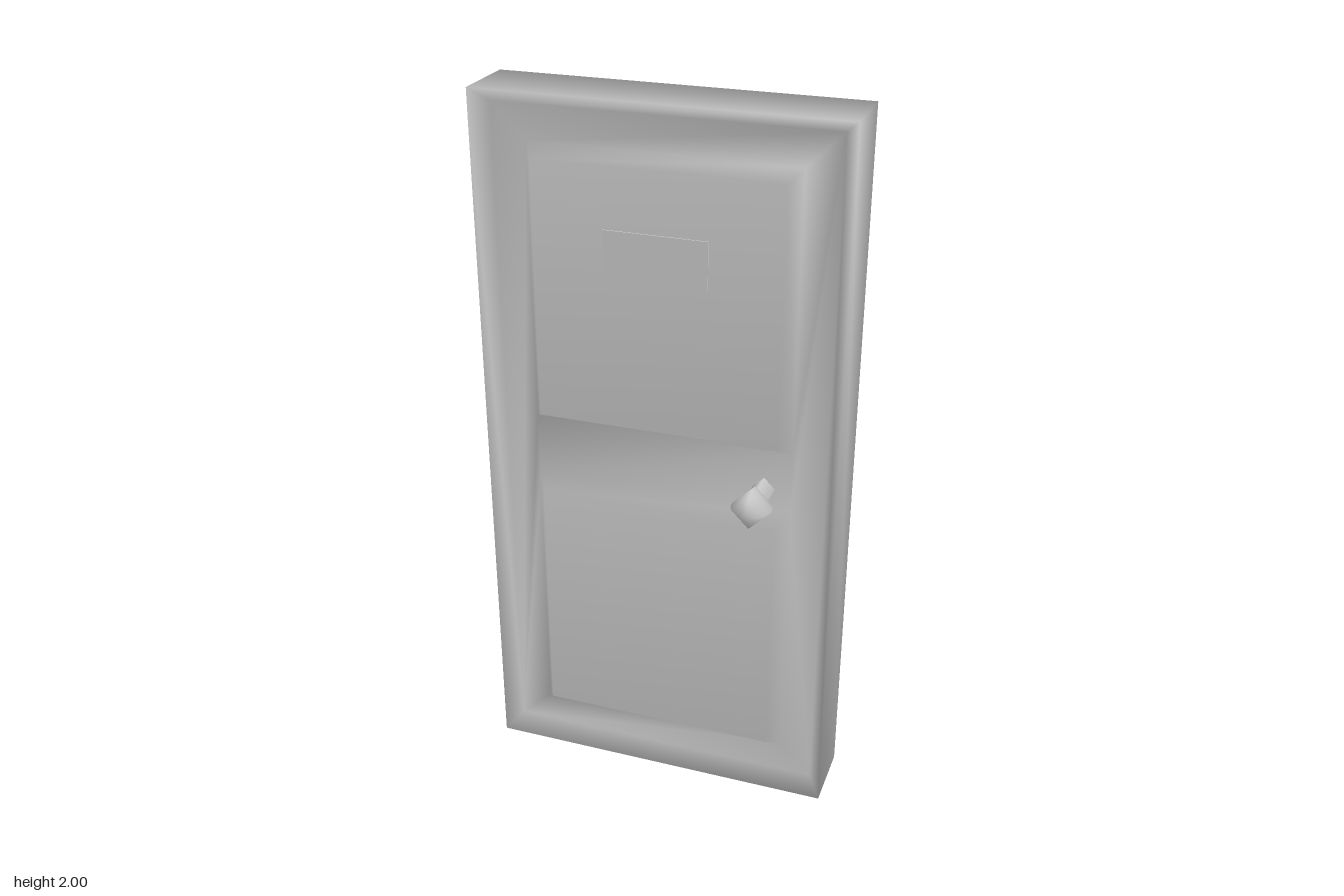
import * as THREE from 'three';

const FRONT = 0.093, BACK = -0.107, RECESS = 0.045;

// Door slab: one shared-vertex surface made of rectangular loops joined by bands
function doorGeometry() {
  const pos = [], index = [];
  const loop = (hw, y0, y1, z) => {
    const start = pos.length / 3;
    pos.push(-hw, y0, z, hw, y0, z, hw, y1, z, -hw, y1, z);
    return [0, 1, 2, 3].map((i) => start + i);
  };
  const quad = (a, b, c, d) => index.push(a, b, c, a, c, d);
  const band = (outer, inner) => {
    for (let i = 0; i < 4; i++) {
      const j = (i + 1) % 4;
      quad(outer[i], outer[j], inner[j], inner[i]);
    }
  };

  // back, sides and sloping rim
  const back = loop(0.5, 0, 2, BACK);
  const edge = loop(0.5, 0, 2, FRONT);
  const rim = loop(0.46, 0.04, 1.96, RECESS);
  quad(back[0], back[3], back[2], back[1]);
  band(back, edge);
  band(edge, rim);

  // two raised panels with bevelled sides
  const feet = [[0.135, 0.91], [1.09, 1.865]].map(([y0, y1]) => {
    const foot = loop(0.365, y0, y1, RECESS);
    const top = loop(0.335, y0 + 0.03, y1 - 0.03, FRONT);
    band(foot, top);
    quad(...top);
    return foot;
  });

  // sunken frame around the panels
  const flat = (ids) => ids.map((i) => new THREE.Vector2(pos[i * 3], pos[i * 3 + 1]));
  const holes = feet.map((f) => [...f].reverse());
  const ids = [rim, ...holes].flat();
  for (const [a, b, c] of THREE.ShapeUtils.triangulateShape(flat(rim), holes.map(flat))) {
    index.push(ids[a], ids[b], ids[c]);
  }

  const geometry = new THREE.BufferGeometry();
  geometry.setAttribute('position', new THREE.Float32BufferAttribute(pos, 3));
  geometry.setIndex(index);
  geometry.computeVertexNormals();
  return geometry;
}

export function createModel() {
  const model = new THREE.Group();
  model.name = 'door';
  const grey = new THREE.MeshStandardMaterial({ color: 0xcccccc });
  grey.name = 'light grey';

  const add = (name, geometry, parent = model) => {
    const mesh = new THREE.Mesh(geometry, grey);
    mesh.name = name;
    parent.add(mesh);
    return mesh;
  };

  add('doorSlab', doorGeometry());

  // thin plate on the upper panel
  add('namePlate', new THREE.BoxGeometry(0.28, 0.13, 0.006)).position.set(0, 1.605, FRONT);

  // four-sided knobs on stems, front and back
  for (const [name, side, face] of [['frontHandle', 1, FRONT], ['backHandle', -1, -BACK]]) {
    const handle = new THREE.Group();
    handle.name = name;
    handle.position.set(0.3, 1, 0);
    model.add(handle);
    const start = face - 0.01, end = 0.17;
    const stem = new THREE.CylinderGeometry(0.03, 0.03, end - start, 4).rotateX(Math.PI / 2);
    add('stem', stem, handle).position.z = side * (start + end) / 2;
    const knob = new THREE.SphereGeometry(0.055, 4, 24).rotateX(Math.PI / 2);
    add('knob', knob, handle).position.z = side * 0.196;
  }
  return model;
}
